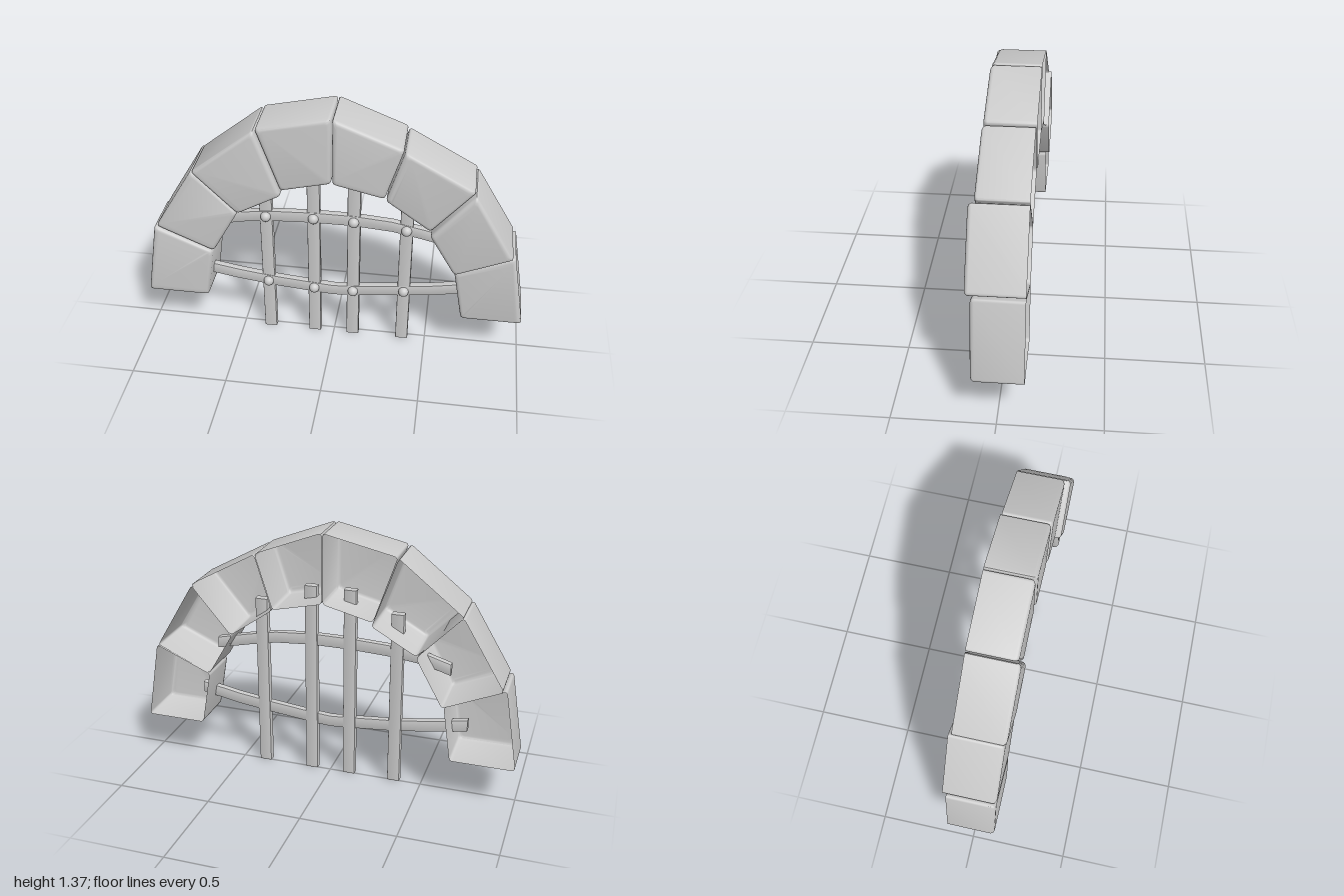
import * as THREE from 'three';
import { toCreasedNormals } from 'three/addons/utils/BufferGeometryUtils.js';

const material = new THREE.MeshStandardMaterial({ color: 0xcccccc, side: THREE.DoubleSide });

// Skin a list of equal-length closed loops; optionally cap the first and last loop.
function loft(loops, capStart, capEnd) {
  const n = loops[0].length;
  const pos = loops.flat().flatMap((p) => [p.x, p.y, p.z]);
  const index = [];
  for (let r = 0; r < loops.length - 1; r++) {
    for (let i = 0; i < n; i++) {
      const j = (i + 1) % n;
      const a = r * n + i, b = r * n + j, c = a + n, d = b + n;
      index.push(a, b, d, a, d, c);
    }
  }
  const last = (loops.length - 1) * n;
  for (let i = 1; i < n - 1; i++) {
    if (capStart) index.push(0, i + 1, i);
    if (capEnd) index.push(last, last + i, last + i + 1);
  }
  const geo = new THREE.BufferGeometry();
  geo.setAttribute('position', new THREE.Float32BufferAttribute(pos, 3));
  geo.setIndex(index);
  return toCreasedNormals(geo, 0.65);
}

// Counter-clockwise polygon with rounded corners, shrunk inwards by inset.
function roundedLoop(corners, inset, radius, steps) {
  const pts = corners.map(([x, y]) => new THREE.Vector2(x, y));
  const out = [];
  pts.forEach((p, i) => {
    const u = pts[(i + pts.length - 1) % pts.length].clone().sub(p).normalize();
    const v = pts[(i + 1) % pts.length].clone().sub(p).normalize();
    const c = p.clone().addScaledVector(u.clone().add(v), inset / Math.abs(u.cross(v)));
    const curve = new THREE.QuadraticBezierCurve(
      c.clone().addScaledVector(u, radius), c, c.clone().addScaledVector(v, radius));
    out.push(...curve.getPoints(steps));
  });
  return out;
}

function rectLoop(w, h) {
  const x = w / 2, y = h / 2;
  return roundedLoop([[-x, -y], [x, -y], [x, y], [-x, y]], 0, 0.006, 2);
}

// Hollow stone: softened front, straight walls, open back.
function stoneGeometry(corners, front, back) {
  const bevel = 0.02;
  const ring = (inset, z) =>
    roundedLoop(corners, inset, 0.018, 4).map((p) => new THREE.Vector3(p.x, p.y, z));
  const rings = [ring(0, back)];
  for (let k = 0; k <= 4; k++) {
    const a = (k / 4) * Math.PI / 2;
    rings.push(ring(bevel * (1 - Math.cos(a)), front - bevel + bevel * Math.sin(a)));
  }
  return loft(rings, false, true);
}

export function createModel() {
  const model = new THREE.Group();
  const add = (parent, name, geo) => {
    const mesh = new THREE.Mesh(geo, material);
    mesh.name = name;
    parent.add(mesh);
    return mesh;
  };
  const group = (name) => {
    const g = new THREE.Group();
    g.name = name;
    model.add(g);
    return g;
  };

  // Arch stones from the right foot over the crown to the left foot
  const stones = [
    { q: [[-1, 0.245], [-0.67, 0.245], [-0.628, 0.54], [-0.93, 0.672]], front: 0.12, back: -0.13 },
    { q: [[-0.918, 0.675], [-0.622, 0.545], [-0.483, 0.795], [-0.705, 1.03]], front: 0.12, back: -0.15 },
    { q: [[-0.705, 1.025], [-0.48, 0.797], [-0.253, 0.925], [-0.38, 1.285]], front: 0.125, back: -0.135 },
    { q: [[-0.375, 1.29], [-0.258, 0.947], [-0.003, 1.01], [-0.003, 1.372]], front: 0.11, back: -0.135 },
    { q: [[0.003, 1.01], [0.262, 0.95], [0.35, 1.235], [0.003, 1.372]], front: 0.115, back: -0.135 },
    { q: [[0.355, 1.228], [0.268, 0.943], [0.495, 0.782], [0.705, 1.035]], front: 0.12, back: -0.13 },
    { q: [[0.705, 1.027], [0.495, 0.775], [0.63, 0.545], [0.918, 0.672]], front: 0.148, back: -0.13 },
    { q: [[0.927, 0.668], [0.63, 0.54], [0.683, 0.245], [1, 0.245]], front: 0.12, back: -0.13 },
  ];
  const arch = group('arch');
  stones.forEach((s, i) => add(arch, `archStone${i + 1}`, stoneGeometry(s.q, s.front, s.back)));

  // Upright bars, open at the foot, ending inside the stones
  const grate = group('grate');
  const uprights = [[-0.352, 0.95], [-0.104, 1.05], [0.104, 1.05], [0.374, 0.95]];
  const uprightLoop = rectLoop(0.04, 0.066);
  uprights.forEach(([x, top], i) => {
    const rings = [0, top].map((y) =>
      uprightLoop.map((p) => new THREE.Vector3(x + p.y, y, 0.015 + p.x)));
    add(grate, `uprightBar${i + 1}`, loft(rings, false, true));
  });

  // Curved cross bars
  const crossBars = {
    upperCrossBar: [[-0.63, 0.683], [-0.5, 0.722], [-0.33, 0.744], [-0.104, 0.755],
      [0.104, 0.755], [0.3, 0.74], [0.45, 0.71], [0.63, 0.668]],
    lowerCrossBar: [[-0.73, 0.385], [-0.52, 0.348], [-0.33, 0.322], [-0.104, 0.302], [0, 0.294],
      [0.104, 0.302], [0.374, 0.332], [0.52, 0.351], [0.73, 0.39]],
  };
  const crossLoop = rectLoop(0.062, 0.036);
  for (const [name, path] of Object.entries(crossBars)) {
    const rings = path.map(([x, y]) =>
      crossLoop.map((p) => new THREE.Vector3(x, y + p.x, 0.02 + p.y)));
    add(grate, name, loft(rings, true, true));
  }

  // Rivets where the bars cross
  const rivetGeo = new THREE.SphereGeometry(0.027, 16, 12);
  const rivetRows = [[0.742, 0.752, 0.75, 0.725], [0.322, 0.303, 0.303, 0.331]];
  rivetRows.forEach((row) => row.forEach((y, i) => {
    add(grate, 'rivet', rivetGeo).position.set(uprights[i][0], y, 0.042);
  }));

  return model;
}
